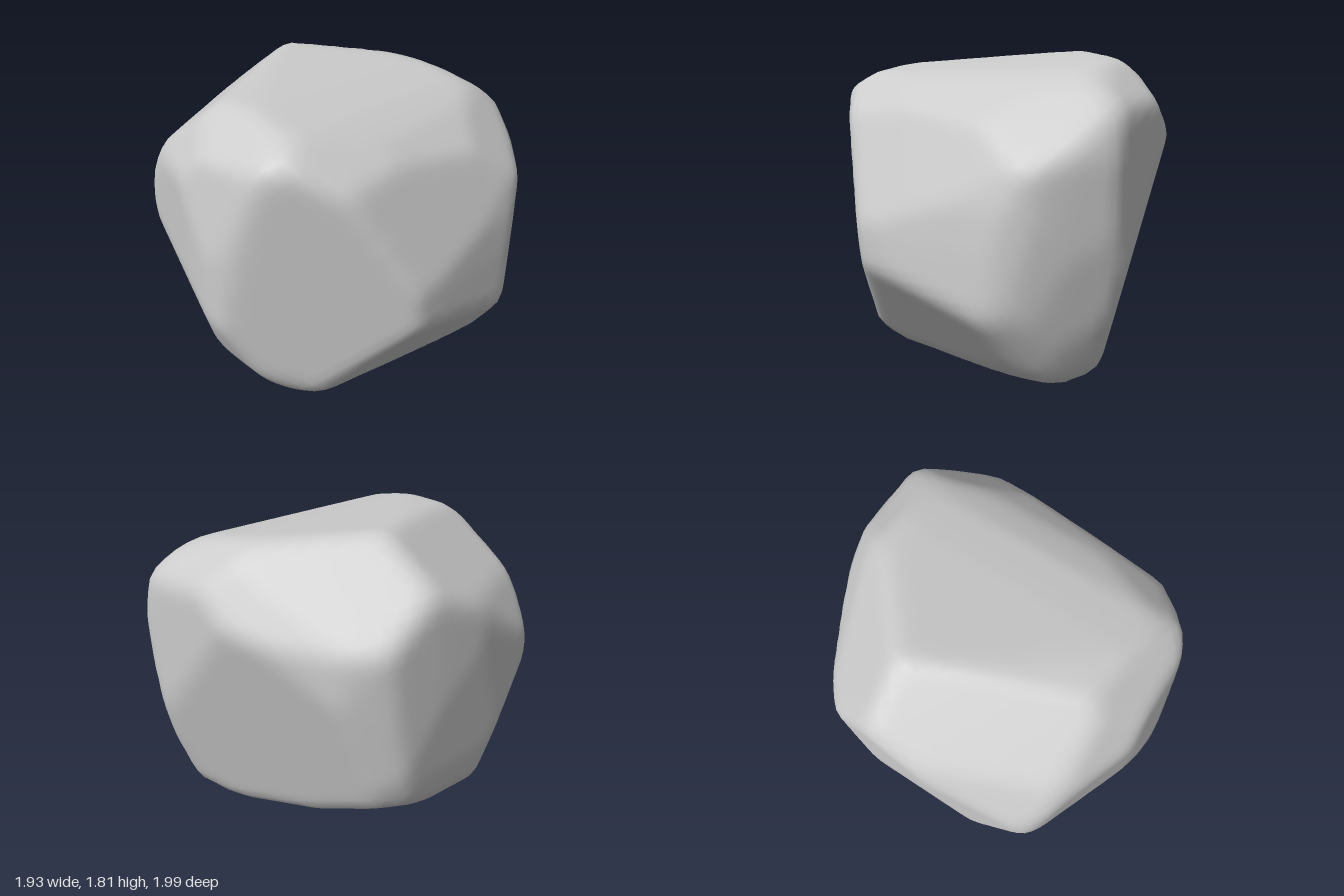
import * as THREE from 'three';
import { mergeVertices } from 'three/addons/utils/BufferGeometryUtils.js';

const MID = 0.91; // height of the rock's centre

// Each edge of an outline cuts the rock with a plane running along the viewing axis
function cutOutline(planes, right, up, centreV, outline) {
  outline.forEach(([u0, v0], i) => {
    const [u1, v1] = outline[(i + 1) % outline.length];
    const n = right.clone().multiplyScalar(v1 - v0).addScaledVector(up, u0 - u1);
    const l = n.length();
    let d = ((v1 - v0) * u0 + (u0 - u1) * (v0 - centreV)) / l;
    n.divideScalar(l);
    if (d < 0) { n.negate(); d = -d; }
    planes.push({ n, d });
  });
}

// Outline seen from the horizontal direction (x, z), raised by an angle
function cutTilted(planes, x, z, degrees, outline) {
  const e = THREE.MathUtils.degToRad(degrees);
  const side = new THREE.Vector3(z, 0, -x).normalize();
  const up = new THREE.Vector3(x, 0, z).normalize().multiplyScalar(-Math.sin(e));
  up.y = Math.cos(e);
  cutOutline(planes, side, up, 0, outline);
}

function definePlanes() {
  const planes = [];
  const X = new THREE.Vector3(1, 0, 0), Y = new THREE.Vector3(0, 1, 0), Z = new THREE.Vector3(0, 0, 1);
  // Frontal outline
  cutOutline(planes, X, Y, MID, [[-0.46, 0.02], [-0.22, 0], [0.58, 0.05], [0.72, 0.07], [0.97, 0.43], [0.95, 0.8],
    [0.93, 1], [0.86, 1.32], [0.77, 1.44], [0.65, 1.54], [0.5, 1.62], [0.36, 1.68], [0.1, 1.73], [-0.6, 1.82],
    [-0.91, 1.59], [-0.96, 1.51], [-0.97, 1.2], [-0.92, 0.5], [-0.88, 0.25], [-0.73, 0.12]]);
  // Side outline
  cutOutline(planes, Z, Y, MID, [[0.71, 0.06], [0.4, 0.015], [-0.23, 0], [-0.73, 0.05], [-0.84, 0.12], [-1, 0.38],
    [-1, 1.55], [-0.9, 1.65], [-0.68, 1.75], [-0.5, 1.8], [-0.3, 1.82], [-0.1, 1.81], [0.7, 1.73], [0.84, 1.65],
    [0.91, 1.52], [1, 0.95], [1, 0.7], [0.99, 0.58], [0.83, 0.24]]);
  // Plan outline
  cutOutline(planes, X, Z, 0, [[-0.2, -0.98], [0.58, -1], [0.83, -0.77], [0.9, -0.62], [0.97, -0.45], [0.97, 0],
    [0.93, 0.38], [0.52, 0.8], [0.38, 0.9], [0.12, 0.98], [0, 0.995], [-0.2, 0.95], [-0.8, 0.72], [-0.88, 0.66],
    [-0.97, 0.1], [-0.95, -0.2], [-0.91, -0.54], [-0.72, -0.7]]);
  // Diagonal outlines
  cutTilted(planes, 1, 1, 30, [[-0.33, 1.08], [-0.09, 1.1], [0.18, 1.07], [0.5, 0.99], [1.05, 0.67], [1.12, 0.37],
    [1.1, -0.05], [1.05, -0.51], [0.93, -0.73], [0.15, -1.06], [0.01, -1.07], [-0.24, -1.05], [-0.37, -1.01],
    [-0.62, -0.82], [-0.8, -0.62], [-1.07, -0.17], [-1.1, 0.14], [-1.05, 0.29], [-0.67, 0.85], [-0.56, 0.96]]);
  cutTilted(planes, -1, -1, 30, [[-1.12, 0.25], [-1.1, 0.32], [-0.77, 0.6], [0.12, 1.05], [0.2, 1.05],
    [0.36, 1.01], [0.71, 0.81], [0.95, 0.5], [1.05, 0.29], [1.09, 0.17], [1.08, -0.05], [0.8, -0.77],
    [0.48, -0.9], [-0.12, -0.97], [-0.76, -0.93], [-0.88, -0.89], [-1.01, -0.57], [-1.09, -0.18]]);
  cutTilted(planes, 1, -1, -25, [[-0.92, 0.49], [-0.44, 0.8], [0.18, 1.02], [0.59, 0.99], [1.03, 0.29],
    [0.99, -0.05], [0.95, -0.44], [0.86, -0.68], [0.71, -0.82], [0.34, -1.04], [0.07, -1.07], [-0.44, -0.99],
    [-0.63, -0.93], [-0.78, -0.73], [-0.9, -0.29], [-0.97, -0.03]]);
  // Broad facets, as normal and distance
  for (const [x, y, z, d] of [
    [-0.47, 0.63, -0.61, 1.02], // behind the peak
    [-0.31, -0.25, -0.92, 0.84], // undercut back
    [-0.54, 0.785, 0.3, 0.96], // slope left of the roof
    [-0.42, -0.29, 0.86, 0.955], // lower front
    [0.61, -0.1, 0.79, 0.862], // undercut front corner
    [0.92, 0.38, 0.09, 0.875], // flank under the roof edge
    [0.76, -0.62, 0.186, 0.945], // undercut flank
  ]) planes.push({ n: new THREE.Vector3(x, y, z).normalize(), d });
  return planes;
}

// Distance from the centre to the nearest plane along a direction
function reach(planes, dir) {
  let r = 2;
  for (const { n, d } of planes) {
    const c = n.dot(dir);
    if (c > 0.01) r = Math.min(r, d / c);
  }
  return r;
}

export function createModel() {
  const planes = definePlanes();
  let geo = new THREE.IcosahedronGeometry(1, 20);
  geo.deleteAttribute('uv');
  geo.deleteAttribute('normal');
  geo = mergeVertices(geo, 1e-4);

  // Shape the sphere, averaging a small patch so the ridges are worn round
  const pos = geo.attributes.position;
  const dir = new THREE.Vector3(), a = new THREE.Vector3(), b = new THREE.Vector3(), s = new THREE.Vector3();
  for (let i = 0; i < pos.count; i++) {
    dir.fromBufferAttribute(pos, i).normalize();
    a.set(dir.y, dir.z, -dir.x).cross(dir).normalize();
    b.crossVectors(dir, a);
    let r = 2 * reach(planes, dir);
    for (let k = 0; k < 6; k++) {
      const t = k * Math.PI / 3;
      s.copy(dir).addScaledVector(a, 0.05 * Math.cos(t)).addScaledVector(b, 0.05 * Math.sin(t)).normalize();
      r += reach(planes, s);
    }
    dir.multiplyScalar(r / 8);
    pos.setXYZ(i, dir.x, dir.y, dir.z);
  }
  geo.translate(0, MID, 0);
  geo.computeVertexNormals();

  const rock = new THREE.Mesh(geo, new THREE.MeshStandardMaterial({ color: 0xcccccc }));
  rock.name = 'boulder';
  const group = new THREE.Group();
  group.name = 'rock';
  group.add(rock);
  return group;
}
